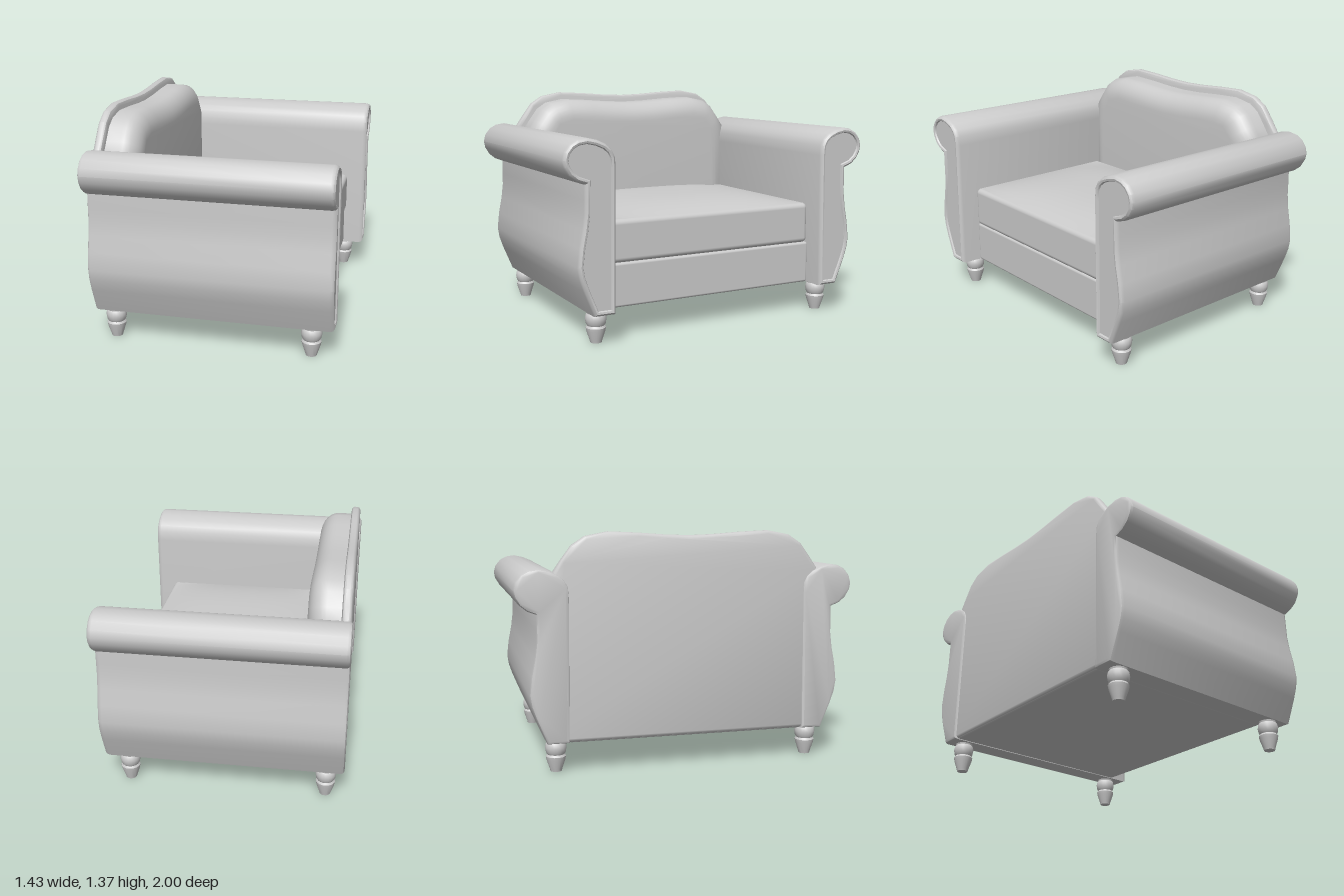
import * as THREE from 'three';
import { toCreasedNormals } from 'three/addons/utils/BufferGeometryUtils.js';
import { RoundedBoxGeometry } from 'three/addons/geometries/RoundedBoxGeometry.js';

const material = new THREE.MeshStandardMaterial({ color: 0xcccccc });

// Move a counter-clockwise outline inwards by d
function inset(points, d) {
  const n = points.length;
  return points.map(([x, y], i) => {
    const p = points[(i + n - 1) % n], q = points[(i + 1) % n];
    const l1 = Math.hypot(x - p[0], y - p[1]), l2 = Math.hypot(q[0] - x, q[1] - y);
    const a = [(p[1] - y) / l1, (x - p[0]) / l1];
    const b = [(y - q[1]) / l2, (q[0] - x) / l2];
    const k = d / (1 + a[0] * b[0] + a[1] * b[1]);
    return [x + (a[0] + b[0]) * k, y + (a[1] + b[1]) * k];
  });
}

// Solid through [depth, inset] rings of one outline; depth runs along world x
function loft(outline, rings, crease = 0.6) {
  const n = outline.length, pos = [], index = [];
  rings.forEach(([depth, d], k) => {
    inset(outline, d).forEach(([x, y], i) => {
      pos.push(x, y, depth);
      if (k === rings.length - 1) return;
      const j = (i + 1) % n, a = k * n + i, b = k * n + j;
      index.push(a, b, b + n, a, b + n, a + n);
    });
  });
  const cap = (k, flip) => {
    const contour = inset(outline, rings[k][1]).map(p => new THREE.Vector2(...p));
    for (const [a, b, c] of THREE.ShapeUtils.triangulateShape(contour, [])) {
      index.push(k * n + a, k * n + (flip ? c : b), k * n + (flip ? b : c));
    }
  };
  cap(0, true);
  cap(rings.length - 1, false);
  const g = new THREE.BufferGeometry();
  g.setAttribute('position', new THREE.Float32BufferAttribute(pos, 3));
  g.setIndex(index);
  g.rotateY(Math.PI / 2);
  return toCreasedNormals(g, crease);
}

// Camel-back outline, mirrored from one half
function backOutline(bottom) {
  const half = [[0.79, bottom], [0.79, 1.13], [0.735, 1.21], [0.676, 1.29],
    [0.6, 1.34], [0.47, 1.365], [0.3, 1.357], [0.14, 1.345]];
  const mirrored = half.map(([x, y]) => [-x, y]).reverse();
  return [...half, [0, 1.34], ...mirrored];
}

export function createModel() {
  const model = new THREE.Group();
  const add = (name, geometry, x = 0, y = 0, z = 0) => {
    const mesh = new THREE.Mesh(geometry, material);
    mesh.name = name;
    mesh.position.set(x, y, z);
    model.add(mesh);
    return mesh;
  };

  // Rolled arms with a rounded rim and a recessed front panel
  const arm = [[0.698, 0.18], [0.826, 0.18], [0.888, 0.33], [0.912, 0.4], [0.922, 0.465],
    [0.91, 0.57], [0.89, 0.67], [0.879, 0.757], [0.878, 0.83], [0.876, 0.915],
    [0.925, 0.933], [0.965, 0.965], [0.992, 1.01], [1.0, 1.05], [0.988, 1.095],
    [0.955, 1.135], [0.915, 1.157], [0.86, 1.165], [0.8, 1.152], [0.75, 1.13],
    [0.715, 1.1], [0.695, 1.06], [0.69, 1.0]];
  const armRings = [[-0.72, 0.018], [-0.714, 0.006], [-0.7, 0], [0.69, 0], [0.706, 0.005],
    [0.715, 0.016], [0.712, 0.027], [0.703, 0.032]];
  const mirroredArm = arm.map(([x, y]) => [-x, y]).reverse();
  add('rearArm', loft(arm, armRings));
  add('frontArm', loft(mirroredArm, armRings));

  // Back frame with a rounded edge
  add('backFrame', loft(backOutline(0.185), [[-0.71, 0.02], [-0.703, 0.006], [-0.693, 0],
    [-0.67, 0], [-0.66, 0.006], [-0.654, 0.02]]));

  // Padded back cushion, softly rounded towards the seat
  const cushionRings = [[-0.68, 0.045]];
  for (let i = 0; i <= 8; i++) {
    const t = i / 8 * Math.PI / 2;
    cushionRings.push([-0.57 + 0.11 * Math.sin(t), 0.045 + 0.13 * (1 - Math.cos(t))]);
  }
  add('backCushion', loft(backOutline(0.35), cushionRings, 0.7));

  // Seat base and seat cushion
  add('seatBase', new RoundedBoxGeometry(1.28, 0.258, 1.4, 3, 0.015), -0.06, 0.309, 0);
  add('seatCushion', new RoundedBoxGeometry(1.055, 0.25, 1.37, 4, 0.03), 0.0675, 0.565, 0);

  // Crowned top of the seat cushion
  const crown = new THREE.PlaneGeometry(1.01, 1.33, 20, 24).rotateX(-Math.PI / 2);
  const p = crown.attributes.position;
  for (let i = 0; i < p.count; i++) {
    const u = Math.abs(p.getX(i) / 0.505), v = Math.abs(p.getZ(i) / 0.665);
    p.setY(i, 0.062 * (1 - u ** 3) * (1 - v ** 3));
  }
  crown.computeVertexNormals();
  add('seatCushionCrown', crown, 0.0675, 0.689, 0);

  // Turned legs
  const profile = [[0, 0], [0.033, 0], [0.036, 0.012], [0.055, 0.07], [0.058, 0.088],
    [0.05, 0.1], [0.057, 0.112], [0.062, 0.14], [0.057, 0.163], [0.051, 0.17],
    [0.054, 0.185], [0, 0.185]].map(q => new THREE.Vector2(...q));
  const leg = toCreasedNormals(new THREE.LatheGeometry(profile, 20), 0.6);
  for (const x of [-0.61, 0.577]) {
    for (const z of [-0.767, 0.767]) add('leg', leg, x, 0, z);
  }
  return model;
}
